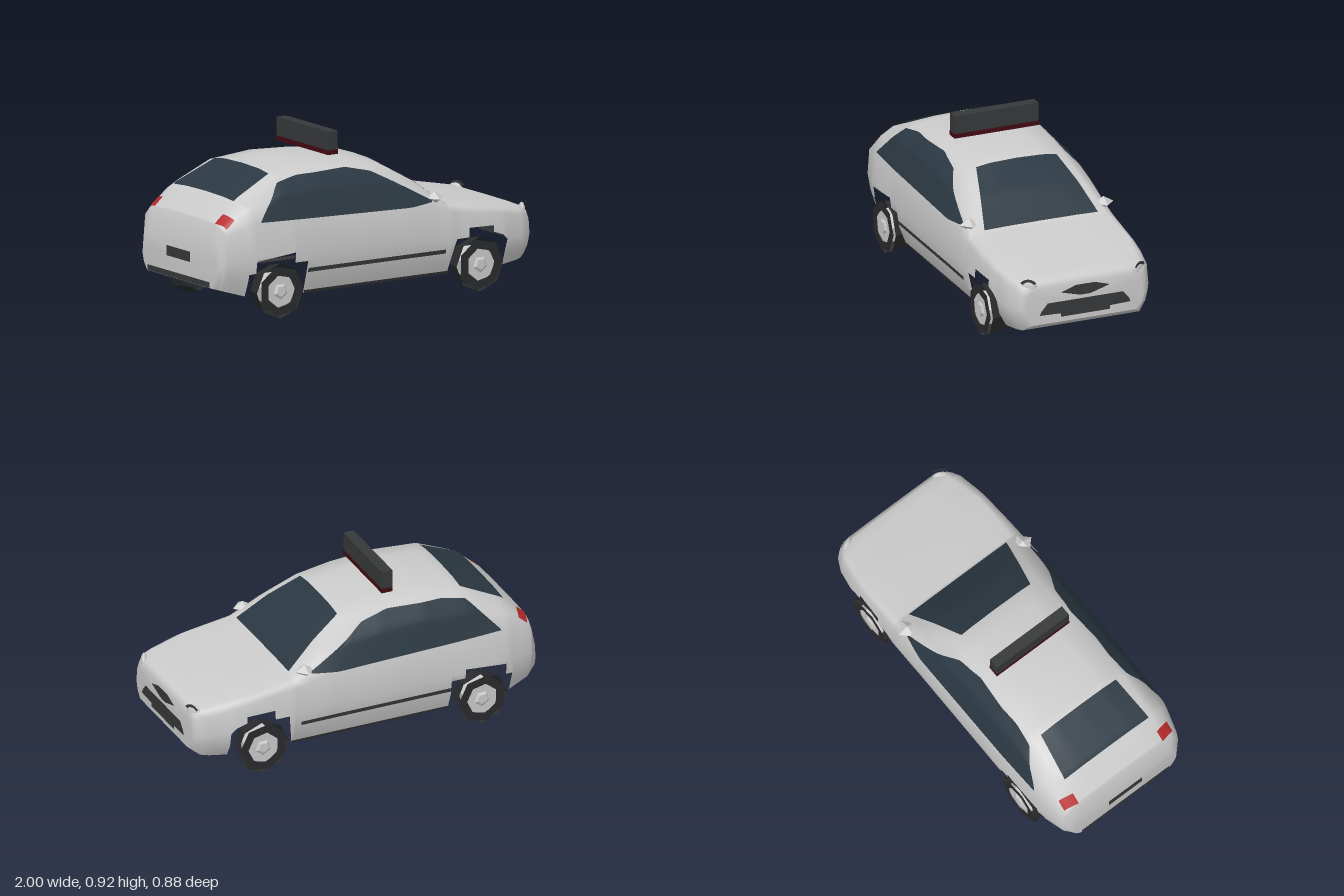
import * as THREE from 'three';
import { mergeVertices } from 'three/addons/utils/BufferGeometryUtils.js';

const mat = (color, extra = {}) => new THREE.MeshStandardMaterial({ color, ...extra });
const PAINT = mat(0xcccccc);
const FLOOR = mat(0xcccccc);
const GLASS = mat(0x2b3842, { side: THREE.DoubleSide });
const TRIM = mat(0x363839, { side: THREE.DoubleSide });
const RUBBER = mat(0x2a2b2d, { flatShading: true, side: THREE.DoubleSide });
const RIM = mat(0xcccccc, { flatShading: true });
const RED = mat(0xb52a2a, { side: THREE.DoubleSide });
const DARK_RED = mat(0x420b12);

// Piecewise linear curve through [x, value] pairs
const curve = (pts) => (x) => {
  let i = 1;
  while (i < pts.length - 1 && x > pts[i][0]) i++;
  const [a, b] = [pts[i - 1], pts[i]];
  const k = Math.min(1, Math.max(0, (x - a[0]) / (b[0] - a[0])));
  return a[1] + (b[1] - a[1]) * k;
};

// Body guide curves along the length of the car (front at +x)
const END = 0.997;
const top = curve([[-END, 0.38], [-0.96, 0.52], [-0.83, 0.64], [-0.6, 0.752], [-0.35, 0.778], [-0.1, 0.766],
  [0.1, 0.735], [0.27, 0.63], [0.43, 0.497], [0.7, 0.458], [0.94, 0.415], [0.98, 0.4], [END, 0.372]]);
const belt = curve([[-END, 0.34], [-0.96, 0.46], [-0.8, 0.52], [0.2, 0.5], [0.43, 0.45], [0.7, 0.41], [0.94, 0.37], [END, 0.33]]);
const bottom = curve([[-END, 0.18], [-0.83, 0.13], [-0.5, 0.11], [0.44, 0.11], [0.8, 0.115], [0.94, 0.13], [END, 0.17]]);
const width = curve([[-END, 0.34], [-0.95, 0.39], [-0.8, 0.43], [-0.5, 0.438], [0.5, 0.438], [0.75, 0.43], [0.9, 0.405], [0.97, 0.37], [END, 0.335]]);
const roof = curve([[-END, 0.28], [-0.8, 0.3], [-0.3, 0.29], [0.1, 0.28], [0.3, 0.32], [0.43, 0.37], [0.7, 0.38], [0.95, 0.33], [END, 0.28]]);

// Half cross-section [z, y] from sill to roof centre
function section(x) {
  const w = width(x), t = top(x), b = belt(x), s = bottom(x), r = roof(x);
  return [[0.87 * w, s], [0.96 * w, s + 0.25 * (b - s)], [w, s + 0.55 * (b - s)], [0.975 * w, b],
    [0.585 * w + 0.4 * r, b + 0.58 * (t - b)], [r, b + 0.9 * (t - b)], [0.55 * r, b + 0.98 * (t - b)], [0, t]];
}
const zAt = (x, y) => curve(section(x).map(([z, h]) => [h, z]))(y);
const yAt = (x, z) => curve(section(x).slice(3).reverse())(Math.abs(z));

// Stepped wheel arches: [x start, x end, y at start, y at end]
const ARCHES = [
  [-0.83, -0.79, 0.25, 0.255], [-0.79, -0.55, 0.32, 0.345], [-0.55, -0.47, 0.29, 0.29],
  [0.44, 0.47, 0.13, 0.3], [0.47, 0.55, 0.3, 0.3], [0.55, 0.71, 0.35, 0.345], [0.71, 0.77, 0.31, 0.29], [0.77, 0.8, 0.29, 0.26],
];

function gridGeometry(rows, caps = false) {
  const n = rows[0].length, pos = rows.flat(2), idx = [];
  for (let i = 0; i < rows.length - 1; i++) for (let j = 0; j < n - 1; j++) {
    const a = i * n + j, b = a + n;
    idx.push(a, b, a + 1, b, b + 1, a + 1);
  }
  if (caps) {
    const c = pos.length / 3, f = (rows.length - 1) * n;
    pos.push(-END, 0.27, 0, END, 0.27, 0);
    for (let j = 0; j < n; j++) {
      const k = (j + 1) % n;
      idx.push(c, j, k, c + 1, f + k, f + j);
    }
  }
  let g = new THREE.BufferGeometry();
  g.setAttribute('position', new THREE.Float32BufferAttribute(pos, 3));
  g.setIndex(idx);
  g = mergeVertices(g, 1e-5);
  g.computeVertexNormals();
  return g;
}

function add(parent, name, geometry, material, x = 0, y = 0, z = 0) {
  const m = new THREE.Mesh(geometry, material);
  m.name = name;
  m.position.set(x, y, z);
  parent.add(m);
  return m;
}

// Sheet from a function of u and v in 0..1
function patch(parent, name, material, f, nu = 20, nv = 8) {
  const rows = [];
  for (let i = 0; i <= nu; i++) rows.push(Array.from({ length: nv + 1 }, (_, j) => f(i / nu, j / nv)));
  return add(parent, name, gridGeometry(rows), material);
}
const mix = THREE.MathUtils.lerp;

function buildBody(car) {
  const cuts = [-END, -0.975, -0.96, -0.95, -0.9, -0.83, -0.79, -0.7, -0.6, -0.55, -0.47, -0.35, -0.2, -0.1, 0, 0.1, 0.2,
    0.27, 0.35, 0.43, 0.44, 0.47, 0.55, 0.63, 0.71, 0.77, 0.8, 0.9, 0.94, 0.97, 0.98, END];
  const rows = [], floor = [];
  for (let c = 0; c < cuts.length - 1; c++) {
    const arch = ARCHES.find((a) => cuts[c] >= a[0] && cuts[c + 1] <= a[1]);
    for (const x of [cuts[c], cuts[c + 1]]) {
      const lift = arch ? mix(arch[2], arch[3], (x - arch[0]) / (arch[1] - arch[0])) : 0;
      const half = section(x).map(([z, y]) => (y < lift ? [x, lift, zAt(x, lift)] : [x, y, z]));
      rows.push([...half, ...half.slice(0, -1).reverse().map(([a, b, z]) => [a, b, -z])]);
      const fz = arch ? 0.31 : 0.87 * width(x);
      floor.push([[x, bottom(x), -fz], [x, bottom(x), fz]]);
    }
  }
  add(car, 'bodyShell', gridGeometry(rows, true), PAINT);
  add(car, 'floorPan', gridGeometry(floor), FLOOR);
}

function buildSides(car) {
  const winLow = curve([[-0.76, 0.525], [0.18, 0.5], [0.33, 0.51]]);
  const winHigh = curve([[-0.76, 0.53], [-0.6, 0.705], [-0.47, 0.73], [-0.15, 0.735], [0, 0.7], [0.33, 0.52]]);
  for (const [side, s] of [['left', -1], ['right', 1]]) {
    const strip = (name, m, x0, x1, low, high, off, nv) => patch(car, side + name, m, (u, v) => {
      const x = mix(x0, x1, u), y = mix(low(x), high(x), v);
      return [x, y, s * (zAt(x, y) + off)];
    }, 40, nv);
    strip('SideWindow', GLASS, -0.76, 0.33, winLow, winHigh, 0.006, 10);
    strip('DoorMoulding', TRIM, -0.47, 0.4, () => 0.23, () => 0.252, 0.006, 1);
    strip('SillTrim', TRIM, -0.47, 0.44, () => 0.111, () => 0.127, 0.005, 1);

    // Wing mirror
    const mirror = add(car, side + 'Mirror', new THREE.OctahedronGeometry(1), mat(0xcccccc, { flatShading: true }), 0.36, 0.525, s * 0.385);
    mirror.scale.set(0.055, 0.034, 0.056);

    // Tail lamp
    patch(car, side + 'TailLamp', RED, (u, v) => {
      const x = mix(-0.95, -0.9, u) + 0.02 * v - 0.01, z = mix(0.28, 0.36, v);
      return [x, yAt(x, z) + 0.006, s * z];
    }, 4, 6);

    // Headlamp with a dark brow
    const lamp = new THREE.Group();
    lamp.name = side + 'Headlamp';
    lamp.position.set(0.965, 0.375, s * 0.31);
    lamp.rotation.set(0, Math.PI / 2 - s * 0.5, 0);
    add(lamp, 'lens', new THREE.SphereGeometry(0.047, 10, 6), PAINT).scale.z = 0.4;
    add(lamp, 'brow', new THREE.RingGeometry(0.036, 0.052, 6, 1, Math.PI * 0.2, Math.PI * 0.6), TRIM, 0, 0.004, 0.02);
    car.add(lamp);
  }
}

function buildScreens(car) {
  const screen = (name, x0, x1, z0, z1) => patch(car, name, GLASS, (u, v) => {
    const x = mix(x0, x1, u), z = mix(-1, 1, v) * mix(z0, z1, u);
    return [x, yAt(x, z) + 0.007, z];
  }, 16, 16);
  screen('windscreen', 0.1, 0.425, 0.23, 0.325);
  screen('rearWindow', -0.84, -0.6, 0.28, 0.25);
}

// Flat plates on the nose and tail, outlined as [z, y]
function buildEnds(car) {
  const plate = (name, x, pts) => {
    const shape = new THREE.Shape(pts.map(([z, y]) => new THREE.Vector2(z, y)));
    add(car, name, new THREE.ShapeGeometry(shape), TRIM, x).rotation.y = Math.sign(x) * Math.PI / 2;
  };
  plate('upperGrille', 1, [[-0.14, 0.335], [-0.03, 0.305], [0.03, 0.305], [0.14, 0.338], [0.055, 0.364], [-0.055, 0.364]]);
  plate('lowerGrille', 1, [[-0.262, 0.222], [-0.14, 0.218], [-0.14, 0.198], [0.14, 0.198], [0.14, 0.218], [0.258, 0.222],
    [0.25, 0.245], [0.215, 0.285], [-0.215, 0.285], [-0.25, 0.245]]);
  plate('rearPlate', -1, [[-0.11, 0.29], [0.11, 0.29], [0.11, 0.345], [-0.11, 0.345]]);
  plate('rearBumperTrim', -1, [[-0.29, 0.182], [0.29, 0.182], [0.29, 0.212], [-0.29, 0.212]]);
}

function buildWheel(car, name, x, s) {
  const wheel = new THREE.Group();
  wheel.name = name;
  wheel.position.set(x, 0.148, s * 0.38);
  wheel.scale.z = s < 0 ? -1 : 1;
  const tread = new THREE.CylinderGeometry(0.148, 0.125, 0.095, 8, 1, true).rotateX(Math.PI / 2);
  add(wheel, 'tread', tread, RUBBER);
  for (const z of [-0.056, 0.056]) {
    add(wheel, 'sidewall', new THREE.RingGeometry(0.088, z > 0 ? 0.138 : 0.115, 7), RUBBER, 0, 0, z);
  }
  add(wheel, 'rim', new THREE.CylinderGeometry(0.094, 0.094, 0.1, 7).rotateX(Math.PI / 2), RIM);
  add(wheel, 'hub', new THREE.CylinderGeometry(0.03, 0.055, 0.014, 5).rotateX(Math.PI / 2), RIM, 0, 0, 0.052);
  car.add(wheel);
}

export function createModel() {
  const car = new THREE.Group();
  car.name = 'car';
  buildBody(car);
  buildSides(car);
  buildScreens(car);
  buildEnds(car);
  for (const [side, s] of [['Left', -1], ['Right', 1]]) {
    buildWheel(car, 'front' + side + 'Wheel', 0.62, s);
    buildWheel(car, 'rear' + side + 'Wheel', -0.645, s);
  }
  // Roof sign
  add(car, 'roofSign', new THREE.BoxGeometry(0.06, 0.1, 0.48), mat(0x363839), -0.185, 0.87, 0);
  add(car, 'roofSignBase', new THREE.BoxGeometry(0.063, 0.025, 0.484), DARK_RED, -0.185, 0.8075, 0);
  return car;
}
